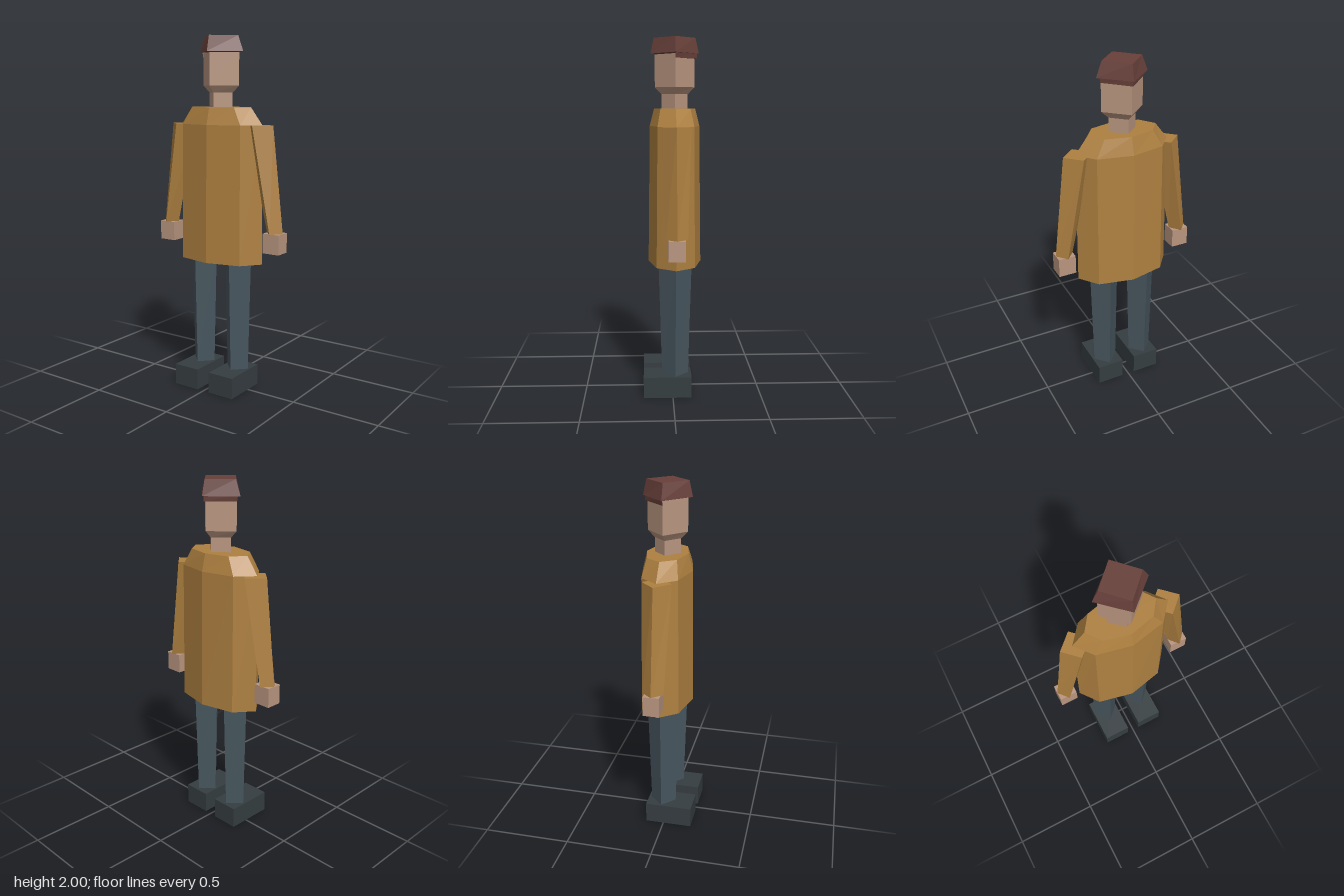
import * as THREE from 'three';

const Z = -0.015; // the body's centre line in depth

const paint = (color) => new THREE.MeshStandardMaterial({ color, flatShading: true });

export function createModel() {
  const group = new THREE.Group();
  const coatMat = paint(0xae8040);
  const skinMat = paint(0xb8957f);
  const legMat = paint(0x46555d);
  const shoeMat = paint(0x353d40);
  const hatMat = paint(0x68403a);
  hatMat.side = THREE.DoubleSide;

  const add = (name, geometry, material) => {
    const mesh = new THREE.Mesh(geometry, material);
    mesh.name = name;
    group.add(mesh);
    return mesh;
  };

  // Stacked elliptical rings, bottom to top: [y, centre x, radius x, radius z]
  const loft = (rings, sides, start = 0, sweep = Math.PI * 2) => {
    const n = rings.length - 1;
    const g = new THREE.CylinderGeometry(1, 1, n, sides, n, false, start, sweep);
    const p = g.attributes.position;
    for (let i = 0; i < p.count; i++) {
      const [y, cx, rx, rz] = rings[Math.round(p.getY(i) + n / 2)];
      p.setXYZ(i, cx + p.getX(i) * rx, y, Z + p.getZ(i) * rz);
    }
    g.computeVertexNormals();
    return g;
  };

  const box = (x0, x1, y0, y1, z0, z1) =>
    new THREE.BoxGeometry(x1 - x0, y1 - y0, z1 - z0)
      .translate((x0 + x1) / 2, (y0 + y1) / 2, (z0 + z1) / 2);

  // Eight-sided coat with sloping shoulders
  add('coat', loft([
    [0.75, 0, 0.278, 0.149],
    [1.52, 0, 0.272, 0.139],
    [1.615, 0, 0.199, 0.115],
  ], 8), coatMat);

  // Four-sided neck, and head with a narrowed jaw
  add('neck', loft([[1.6, 0, 0.078, 0.072], [1.71, 0, 0.078, 0.072]], 4), skinMat);
  add('head', loft([
    [1.695, 0, 0.08, 0.075],
    [1.732, 0, 0.12, 0.11],
    [1.91, 0, 0.12, 0.11],
  ], 4), skinMat);

  // Tapered cap and the flap around the back of the head
  add('hat', loft([[1.915, 0, 0.146, 0.134], [2, 0, 0.113, 0.115]], 4), hatMat);
  add('hatBackFlap', loft([[1.887, 0, 0.122, 0.122], [1.92, 0, 0.128, 0.124]],
    2, Math.PI / 2, Math.PI), hatMat);

  // Limbs, mirrored
  for (const [side, s] of [['left', 1], ['right', -1]]) {
    add(side + 'Arm', loft([
      [0.935, s * 0.358, 0.05, 0.058],
      [1.52, s * 0.256, 0.084, 0.08],
    ], 4), coatMat);
    add(side + 'Hand', box(-0.05, 0.05, 0.827, 0.937, -0.06, 0.03), skinMat).position.x = s * 0.358;
    add(side + 'Leg', loft([
      [0.115, s * 0.118, 0.071, 0.073],
      [0.76, s * 0.118, 0.087, 0.092],
    ], 4), legMat);
    add(side + 'Shoe', box(-0.08, 0.08, 0, 0.12, -0.105, 0.165), shoeMat).position.x = s * 0.119;
  }

  return group;
}
